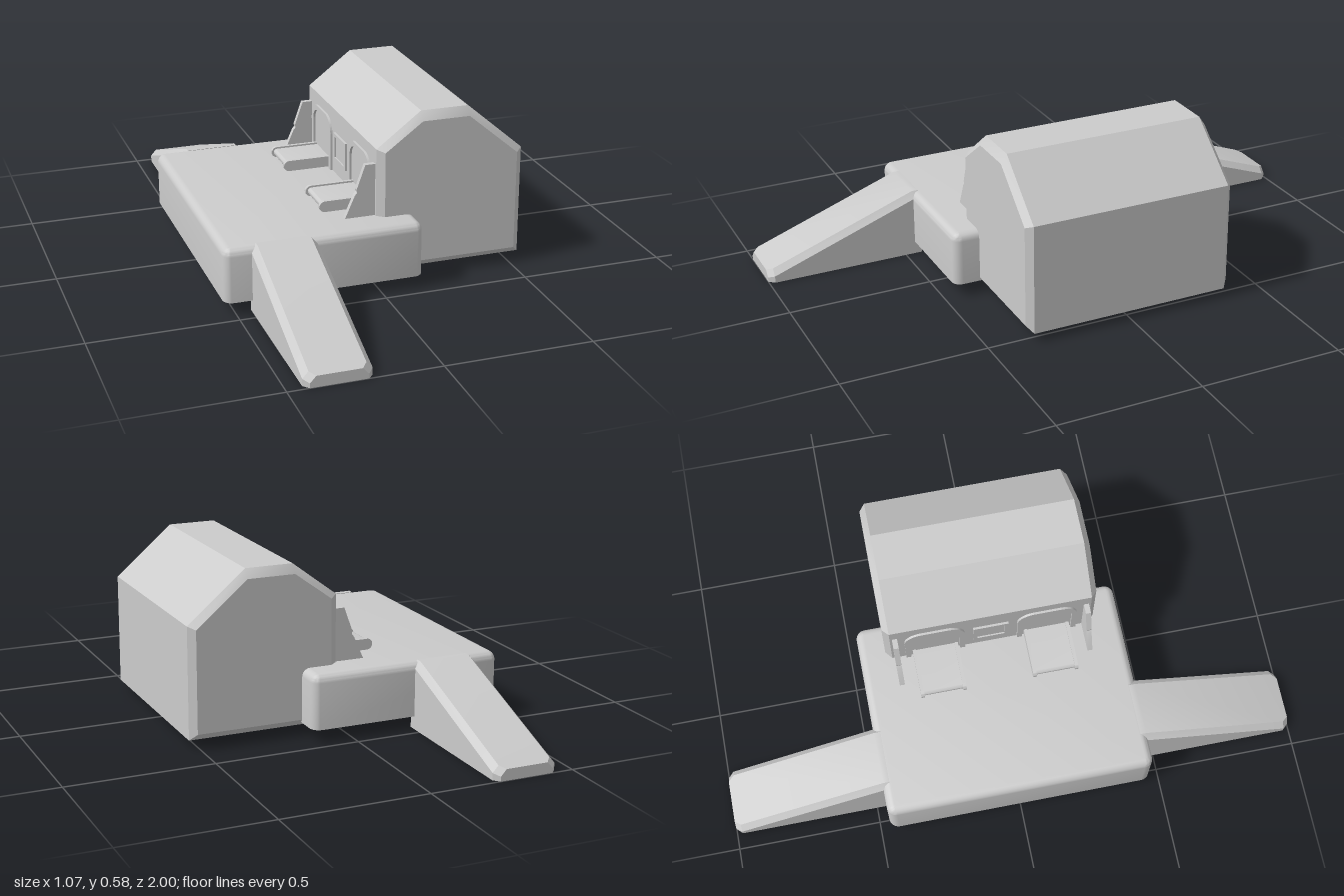
import * as THREE from 'three';
import { toCreasedNormals } from 'three/addons/utils/BufferGeometryUtils.js';

const material = new THREE.MeshStandardMaterial({ color: 0xcccccc });
const shellMaterial = new THREE.MeshStandardMaterial({ color: 0xcccccc, side: THREE.DoubleSide });

// Skin a list of equal-length rings; optionally close each ring and cap the ends.
function loft(rings, { closed = true, capStart = true, capEnd = true } = {}) {
  const out = [];
  const n = rings[0].length;
  for (let i = 0; i < rings.length - 1; i++) {
    for (let j = 0; j < (closed ? n : n - 1); j++) {
      const k = (j + 1) % n;
      const [a, b, c, d] = [rings[i][j], rings[i][k], rings[i + 1][k], rings[i + 1][j]];
      out.push(...a, ...b, ...c, ...a, ...c, ...d);
    }
  }
  const last = rings[rings.length - 1];
  for (let j = 1; j < n - 1; j++) {
    if (capStart) out.push(...rings[0][0], ...rings[0][j + 1], ...rings[0][j]);
    if (capEnd) out.push(...last[0], ...last[j], ...last[j + 1]);
  }
  const g = new THREE.BufferGeometry();
  g.setAttribute('position', new THREE.Float32BufferAttribute(out, 3));
  return toCreasedNormals(g, 0.5);
}

// Horizontal rounded rectangle at height y.
function roundedRing(hx, hz, r, y) {
  const pts = [];
  const corners = [[1, -1], [-1, -1], [-1, 1], [1, 1]];
  corners.forEach(([sx, sz], c) => {
    for (let i = 0; i <= 6; i++) {
      const a = (c + i / 6) * Math.PI / 2;
      pts.push([sx * (hx - r) + r * Math.cos(a), y, sz * (hz - r) - r * Math.sin(a)]);
    }
  });
  return pts;
}

function polygon(points) {
  return new THREE.Shape(points.map(p => new THREE.Vector2(...p)));
}

// Arch outline standing on y = bottom, with rounded shoulders.
function arch(Type, hw, bottom, top, r) {
  const s = new Type();
  s.moveTo(-hw, bottom);
  s.lineTo(hw, bottom);
  s.lineTo(hw, top - r);
  s.absarc(hw - r, top - r, r, 0, Math.PI / 2, false);
  s.lineTo(-hw + r, top);
  s.absarc(-hw + r, top - r, r, Math.PI / 2, Math.PI, false);
  s.closePath();
  return s;
}

// Horizontal stadium profile, square at the wall and round at the outer end.
function trayProfile(x0, x1, y, r) {
  const s = new THREE.Shape();
  s.moveTo(x1, y - r);
  s.lineTo(x1, y + r);
  s.lineTo(x0 + r, y + r);
  s.absarc(x0 + r, y, r, Math.PI / 2, Math.PI * 1.5, false);
  s.closePath();
  return s;
}

export function createModel() {
  const model = new THREE.Group();
  const add = (name, geometry, parent = model, mat = material) => {
    const mesh = new THREE.Mesh(geometry, mat);
    mesh.name = name;
    parent.add(mesh);
    return mesh;
  };
  const extrude = (shape, depth) => toCreasedNormals(
    new THREE.ExtrudeGeometry(shape, { depth, bevelEnabled: false, curveSegments: 8 }), 0.5);

  // Platform with rounded corners and a rounded top edge
  const rings = [roundedRing(0.342, 0.465, 0.032, 0.045)];
  for (let i = 0; i <= 6; i++) {
    const a = i / 6 * Math.PI / 2;
    const inset = 0.028 * (1 - Math.cos(a));
    rings.push(roundedRing(0.342 - inset, 0.465 - inset, 0.032 - inset, 0.204 + 0.028 * Math.sin(a)));
  }
  add('platform', loft(rings)).position.x = -0.197;

  // Housing with a gabled profile and chamfered ends
  const outer = [[0.015, 0.033], [0.535, 0.033], [0.535, 0.415], [0.335, 0.585], [0.17, 0.585], [0.015, 0.467]];
  const inner = [[0.04, 0.056], [0.512, 0.056], [0.512, 0.405], [0.335, 0.554], [0.17, 0.554], [0.04, 0.458]];
  const at = (profile, z) => profile.map(([x, y]) => [x, y, z]);
  add('housing', loft([at(inner, -0.373), at(outer, -0.352), at(outer, 0.352), at(inner, 0.373)]));

  // Hollow ramps at both ends
  const section = (z, hw, h) => [
    [hw, 0, z], [hw, h - 0.022, z], [hw - 0.02, h, z],
    [-hw + 0.02, h, z], [-hw, h - 0.022, z], [-hw, 0, z],
  ];
  const rampGeometry = loft([
    section(0.44, 0.111, 0.234), section(0.462, 0.111, 0.234),
    section(0.98, 0.111, 0.046), section(1, 0.093, 0.038),
  ], { closed: false, capStart: false });
  for (const [name, turn] of [['leftRamp', 0], ['rightRamp', Math.PI]]) {
    const ramp = add(name, rampGeometry, model, shellMaterial);
    ramp.position.x = -0.335;
    ramp.rotation.y = turn;
  }

  // Wall-mounted frames: local x runs along z, depth comes out of the wall
  const onWall = (name, shape, depth, z) => {
    const mesh = add(name, extrude(shape, depth));
    mesh.position.set(0.018, 0, z);
    mesh.rotation.y = -Math.PI / 2;
  };

  const bracketShape = polygon([
    [-0.092, 0.228], [0.02, 0.228], [0.02, 0.414], [-0.02, 0.414],
    [-0.05, 0.33], [-0.048, 0.32], [-0.056, 0.31],
  ]);

  for (const side of [-1, 1]) {
    // Arched opening surround
    const frame = arch(THREE.Shape, 0.105, 0.225, 0.425, 0.06);
    frame.holes.push(arch(THREE.Path, 0.087, 0.226, 0.407, 0.045));
    onWall('archFrame', frame, 0.011, side * 0.198);

    // Tray with raised, round-ended side rails
    const tray = new THREE.Group();
    tray.name = 'tray';
    tray.position.z = side * 0.198;
    model.add(tray);
    add('trayBed', extrude(trayProfile(-0.15, 0.02, 0.256, 0.013), 0.14), tray).position.z = -0.07;
    for (const z of [-0.08, 0.068]) {
      add('trayRail', extrude(trayProfile(-0.157, 0.02, 0.256, 0.019), 0.012), tray).position.z = z;
    }

    // Side bracket with a thicker foot
    add('bracket', extrude(bracketShape, 0.018)).position.z = side * 0.335 - 0.009;
  }

  // Framed panel between the openings
  const panel = polygon([[-0.062, 0.285], [0.062, 0.285], [0.062, 0.385], [-0.062, 0.385]]);
  panel.holes.push(polygon([[-0.048, 0.297], [-0.048, 0.373], [0.048, 0.373], [0.048, 0.297]]));
  onWall('panelFrame', panel, 0.011, 0);
  onWall('panel', polygon([[-0.05, 0.295], [0.05, 0.295], [0.05, 0.375], [-0.05, 0.375]]), 0.006, 0);

  return model;
}
